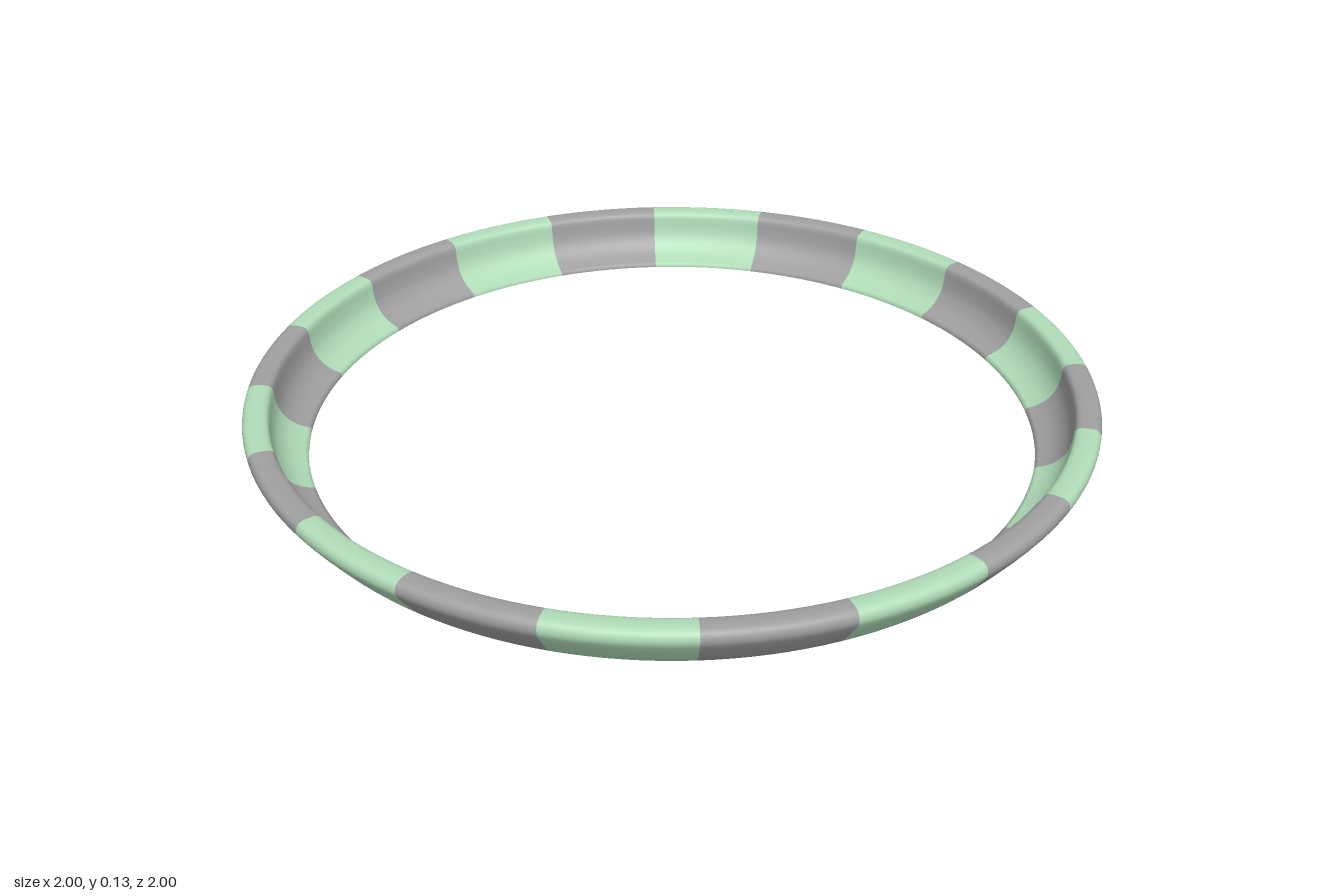
import * as THREE from 'three';

const SEGMENTS = 20;

// Cross-section (radius, height): flat underside, flared outside, rounded rim, inner wall and lip
function ringProfile() {
  const points = [
    [0.86, 0], [0.89, 0], [0.918, 0.004], [0.937, 0.017], [0.962, 0.048], [0.988, 0.083],
    [0.999, 0.103], [0.997, 0.12], [0.985, 0.129], [0.965, 0.13], [0.947, 0.127], [0.939, 0.116],
    [0.936, 0.09], [0.929, 0.062], [0.912, 0.037], [0.888, 0.02], [0.86, 0.01],
  ].map(([r, y]) => new THREE.Vector2(r, y));
  const profile = new THREE.SplineCurve(points).getPoints(48);
  // Thin inner edge closes the loop
  profile.push(new THREE.Vector2(0.86, 0));
  return profile;
}

export function createModel() {
  const group = new THREE.Group();
  group.name = 'stripedRing';
  const green = new THREE.MeshStandardMaterial({ color: 0xb0dcb8 });
  const grey = new THREE.MeshStandardMaterial({ color: 0xa0a0a0 });

  // One arc of the ring, centred on the front; copies alternate in colour
  const step = (Math.PI * 2) / SEGMENTS;
  const arc = new THREE.LatheGeometry(ringProfile(), 8, -step / 2, step);
  for (let i = 0; i < SEGMENTS; i++) {
    const mesh = new THREE.Mesh(arc, i % 2 ? grey : green);
    mesh.name = (i % 2 ? 'greySegment' : 'greenSegment') + (i + 1);
    mesh.rotation.y = i * step;
    group.add(mesh);
  }
  return group;
}
